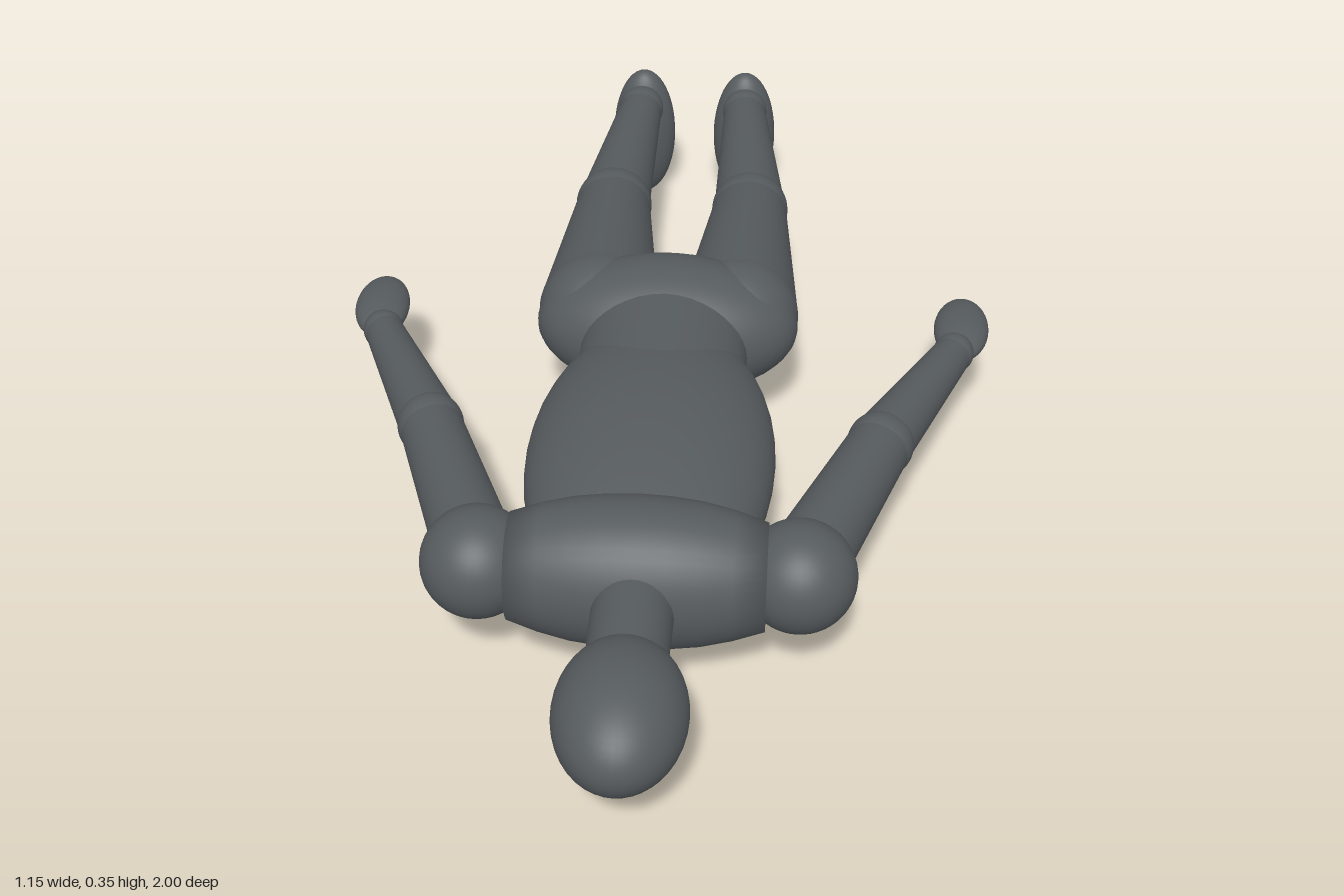
import * as THREE from 'three';

export function createModel() {
  const model = new THREE.Group();
  model.name = 'lyingFigure';
  const grey = new THREE.MeshStandardMaterial({ color: 0x565b5e });
  grey.name = 'darkGrey';
  const Y = 0.225; // height of the body axis

  const add = (name, geometry, parent = model) => {
    const mesh = new THREE.Mesh(geometry, grey);
    mesh.name = name;
    parent.add(mesh);
    return mesh;
  };
  const ellipsoid = (name, pos, radii, parent) => {
    const g = new THREE.SphereGeometry(1, 40, 28).scale(...radii);
    const mesh = add(name, g, parent);
    mesh.position.set(...pos);
    return mesh;
  };
  const ball = (name, pos, r, parent) => ellipsoid(name, pos, [r, r, r], parent);
  // Tapered limb from point a (radius ra) to point b (radius rb)
  const limb = (name, a, ra, b, rb, parent) => {
    const p = new THREE.Vector3(...a), q = new THREE.Vector3(...b);
    const dir = q.clone().sub(p);
    const mesh = add(name, new THREE.CylinderGeometry(rb, ra, dir.length(), 36), parent);
    mesh.position.copy(p).add(q).multiplyScalar(0.5);
    mesh.quaternion.setFromUnitVectors(new THREE.Vector3(0, 1, 0), dir.normalize());
    return mesh;
  };

  // Head and neck
  ellipsoid('head', [0, 0.228, 0.862], [0.1, 0.09, 0.138]);
  limb('neck', [0, 0.228, 0.56], 0.065, [0, 0.228, 0.76], 0.062);

  // Chest: barrel lying across the shoulders, with flat ends
  const profile = [[0, -0.2], [0.088, -0.2], [0.105, -0.15], [0.117, -0.1], [0.123, -0.05],
    [0.125, 0], [0.123, 0.05], [0.117, 0.1], [0.105, 0.15], [0.088, 0.2], [0, 0.2]];
  const chest = add('chest', new THREE.LatheGeometry(
    profile.map(([r, y]) => new THREE.Vector2(r, y)), 40).rotateZ(Math.PI / 2).scale(1, 1, 0.9));
  chest.position.set(0, Y, 0.55);

  // Trunk
  ellipsoid('abdomen', [0, Y + 0.003, 0.28], [0.205, 0.118, 0.37]);
  const waist = add('waist', new THREE.CylinderGeometry(1, 1, 0.24, 40)
    .rotateX(Math.PI / 2).scale(0.146, 0.105, 1));
  waist.position.set(0, Y + 0.003, 0);
  ellipsoid('pelvis', [0, Y, -0.122], [0.233, 0.125, 0.13]);

  for (const [side, s] of [['left', 1], ['right', -1]]) {
    // Arm
    const arm = new THREE.Group();
    arm.name = side + 'Arm';
    model.add(arm);
    const elbow = [s * 0.377, 0.222, 0.2], wrist = [s * 0.51, 0.205, -0.095];
    ball('shoulder', [s * 0.25, Y + 0.002, 0.545], 0.09, arm);
    limb('upperArm', [s * 0.255, Y, 0.52], 0.065, elbow, 0.053, arm);
    ball('elbow', elbow, 0.056, arm);
    limb('forearm', elbow, 0.053, wrist, 0.034, arm);
    ball('wrist', wrist, 0.036, arm);
    const hand = ellipsoid('hand', [s * 0.528, 0.195, -0.183], [0.049, 0.029, 0.09], arm);
    hand.rotation.y = -s * 0.06;

    // Leg
    const leg = new THREE.Group();
    leg.name = side + 'Leg';
    model.add(leg);
    const hip = [s * 0.125, 0.228, -0.15], knee = [s * 0.132, 0.22, -0.525], ankle = [s * 0.107, 0.232, -0.89];
    ball('hip', hip, 0.108, leg);
    limb('thigh', hip, 0.108, knee, 0.07, leg);
    ball('knee', knee, 0.073, leg);
    limb('shin', knee, 0.069, ankle, 0.042, leg);
    ball('ankle', ankle, 0.045, leg);
    ellipsoid('foot', [s * 0.105, 0.143, -0.952], [0.064, 0.143, 0.048], leg);
  }
  return model;
}
